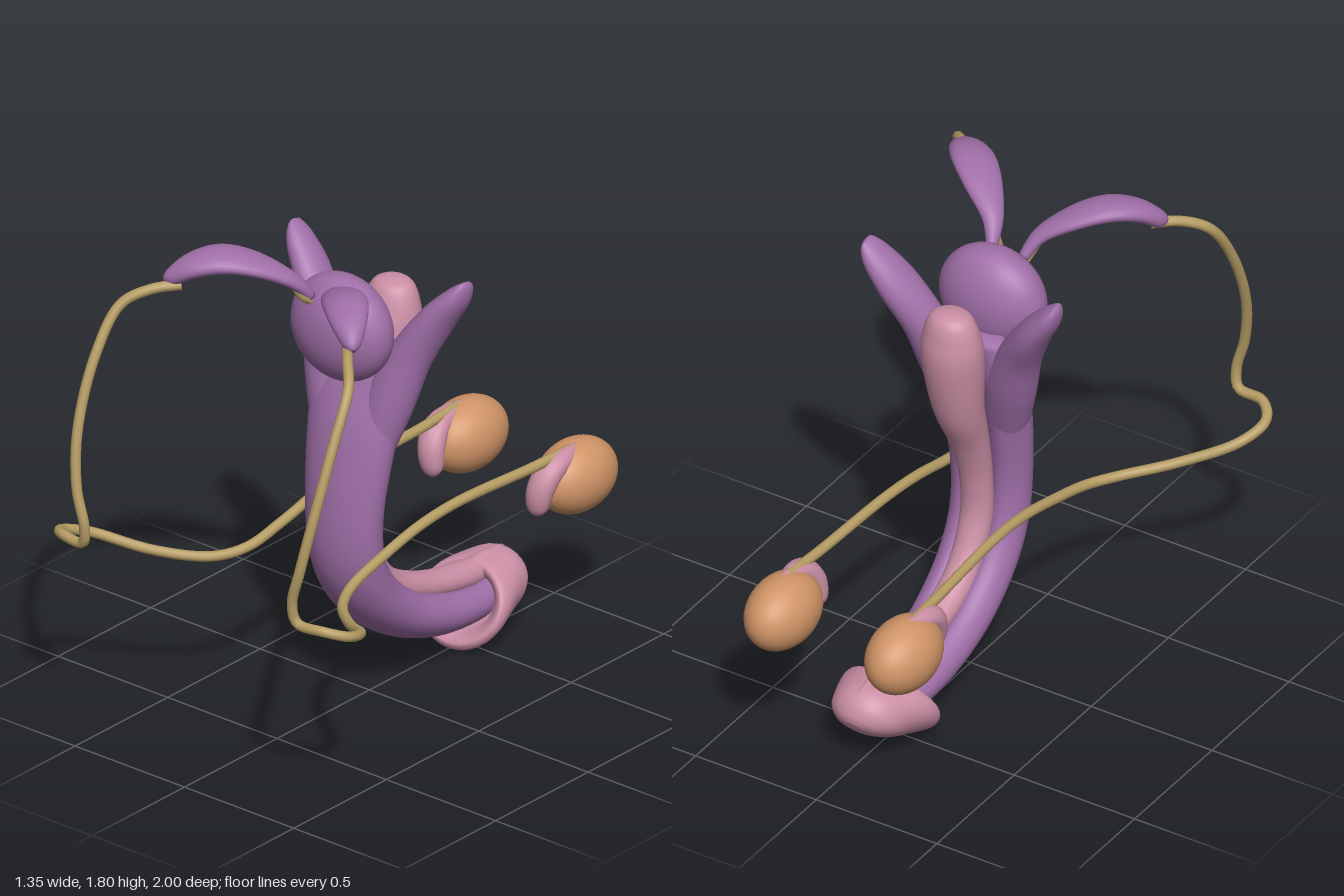
import * as THREE from 'three';

const V = (x, y, z) => new THREE.Vector3(x, y, z);
const mat = (name, color) => {
  const m = new THREE.MeshStandardMaterial({ color });
  m.name = name;
  return m;
};
const round = (a) => [Math.cos(a), Math.sin(a)];

// Smooth component-wise interpolation of rows of numbers
function resample(rows, per) {
  const out = [], last = rows.length - 1;
  const at = (i) => rows[Math.max(0, Math.min(last, i))];
  for (let k = 0; k <= last * per; k++) {
    const i = Math.min(Math.floor(k / per), last - 1), t = k / per - i;
    out.push(at(i).map((p1, c) => {
      const p0 = at(i - 1)[c], p2 = at(i + 1)[c], p3 = at(i + 2)[c];
      return 0.5 * (2 * p1 + (p2 - p0) * t + (2 * p0 - 5 * p1 + 4 * p2 - p3) * t * t
        + (3 * p1 - p0 - 3 * p2 + p3) * t * t * t);
    }));
  }
  return out;
}

// Sweeps a section along rows of [x, y, z, half width, half depth]
function sweep(rows, side, { profile = round, seg = 28, per = 5, normal = null } = {}) {
  const r = resample(rows, per), pos = [], idx = [];
  const pt = (i) => V(...r[Math.max(0, Math.min(r.length - 1, i))].slice(0, 3));
  r.forEach((row, i) => {
    const T = pt(i + 1).sub(pt(i - 1)).normalize();
    const S = side.clone();
    if (!normal) S.addScaledVector(T, -S.dot(T)).normalize();
    const N = normal || T.clone().cross(S);
    for (let j = 0; j < seg; j++) {
      const [u, v] = profile((j / seg) * Math.PI * 2);
      const p = pt(i).addScaledVector(S, u * row[3]).addScaledVector(N, v * row[4]);
      pos.push(p.x, p.y, p.z);
    }
  });
  for (let i = 0; i < r.length - 1; i++) {
    for (let j = 0; j < seg; j++) {
      const k = (j + 1) % seg, a = i * seg, b = a + seg;
      idx.push(a + j, a + k, b + k, a + j, b + k, b + j);
    }
  }
  // end caps
  const n = r.length * seg, e = n - seg;
  pos.push(...pt(0).toArray(), ...pt(r.length - 1).toArray());
  for (let j = 0; j < seg; j++) {
    const k = (j + 1) % seg;
    idx.push(n, k, j, n + 1, e + j, e + k);
  }
  const g = new THREE.BufferGeometry();
  g.setAttribute('position', new THREE.Float32BufferAttribute(pos, 3));
  g.setIndex(idx);
  g.computeVertexNormals();
  return g;
}

export function createModel() {
  const model = new THREE.Group();
  const purple = mat('purple tissue', 0xa06fa8);
  const pink = mat('pink tissue', 0xcb8fa6);
  const gold = mat('golden duct', 0xb59c64);
  const orange = mat('orange gland', 0xd09467);
  const add = (name, geo, m) => {
    const mesh = new THREE.Mesh(geo, m);
    mesh.name = name;
    model.add(mesh);
    return mesh;
  };
  const ellipsoid = (name, m, c, s) => {
    const e = add(name, new THREE.SphereGeometry(1, 36, 24), m);
    e.position.set(...c);
    e.scale.set(...s);
    return e;
  };
  const X = V(1, 0, 0);

  // Curved main body, grooved along its back
  const grooved = (a) => {
    const c = Math.cos(a), s = Math.sin(a);
    return [c, s < 0 ? s * (1 - 0.6 * Math.exp(-((c / 0.35) ** 2))) : s];
  };
  add('mainBody', sweep([
    [0, 1.4, 0.01, 0.14, 0.05], [0, 1.25, 0.04, 0.2, 0.075], [0, 1.05, 0.095, 0.187, 0.095],
    [0, 0.78, 0.135, 0.162, 0.097], [0, 0.57, 0.118, 0.15, 0.105], [0, 0.41, 0.03, 0.145, 0.105],
    [0, 0.285, -0.12, 0.142, 0.1], [0, 0.21, -0.3, 0.135, 0.095], [0, 0.18, -0.47, 0.125, 0.085],
    [0, 0.18, -0.58, 0.11, 0.08],
  ], X, { profile: grooved, seg: 40 }), purple);

  // Club-shaped column running down the groove
  add('backColumn', sweep([
    [0, 1.57, -0.13, 0.025, 0.02], [0, 1.55, -0.13, 0.075, 0.065], [0, 1.48, -0.125, 0.105, 0.09],
    [0, 1.37, -0.115, 0.115, 0.105], [0, 1.15, -0.08, 0.095, 0.087], [0, 0.965, -0.01, 0.075, 0.065],
    [0, 0.78, 0.035, 0.062, 0.055], [0, 0.6, 0.035, 0.06, 0.055], [0, 0.415, -0.065, 0.06, 0.055],
    [0, 0.31, -0.28, 0.058, 0.05], [0, 0.262, -0.52, 0.055, 0.05], [0, 0.268, -0.62, 0.04, 0.046],
    [0, 0.275, -0.72, 0.022, 0.03],
  ], X), pink);

  // Slanted end cap; rows are [distance along, low edge, high edge, half width]
  const capRows = [
    [0.38, 0.31, 0.5, 0.11], [0.34, 0.265, 0.525, 0.155], [0.337, 0.236, 0.549, 0.18],
    [0.376, 0.23, 0.578, 0.185], [0.455, 0.315, 0.622, 0.15], [0.512, 0.395, 0.617, 0.125],
    [0.55, 0.465, 0.592, 0.08], [0.566, 0.52, 0.565, 0.03],
  ].map(([n, lo, hi, w]) => {
    const h = (lo + hi) / 2;
    return [0, 0.86 * h - 0.51 * n, -0.51 * h - 0.86 * n, w, (hi - lo) / 2];
  });
  add('endCap', sweep(capRows, X, { normal: V(0, -0.86, 0.51), seg: 36 }), pink);

  // Rounded upper gland
  ellipsoid('upperGland', purple, [0, 1.48, 0.147], [0.21, 0.2, 0.132]);

  for (const s of [1, -1]) {
    const side = s > 0 ? 'left' : 'right';
    const flip = (rows) => rows.map(([x, ...rest]) => [x * s, ...rest]);

    // Upper branch of the main body
    add(side + 'UpperBranch', sweep(flip([
      [0.08, 0.98, 0.1, 0.08, 0.06], [0.135, 1.2, 0.05, 0.095, 0.08], [0.2, 1.38, 0.01, 0.078, 0.08],
      [0.285, 1.53, -0.03, 0.06, 0.083], [0.355, 1.625, -0.05, 0.043, 0.065],
      [0.385, 1.675, -0.06, 0.022, 0.042], [0.39, 1.695, -0.065, 0.005, 0.02],
    ]), V(s, 0, 0)), purple);

    // Leaf-shaped gland reaching forward
    add(side + 'LeafGland', sweep(flip([
      [0.065, 1.61, 0.24, 0.02, 0.02], [0.1, 1.685, 0.3, 0.04, 0.026], [0.19, 1.745, 0.38, 0.07, 0.033],
      [0.28, 1.77, 0.46, 0.08, 0.038], [0.355, 1.75, 0.53, 0.065, 0.038],
      [0.41, 1.705, 0.58, 0.035, 0.032], [0.425, 1.685, 0.595, 0.012, 0.015],
    ]), V(s * 0.7, 0.12, -0.7)), purple);

    // Long looping duct and its short stub at the upper gland
    const tube = (name, pts) => add(name, new THREE.TubeGeometry(
      new THREE.CatmullRomCurve3(flip(pts).map((p) => V(...p))), pts.length * 8, 0.019, 12), gold);
    tube(side + 'Duct', [
      [0.38, 1.68, 0.57], [0.45, 1.67, 0.65], [0.52, 1.62, 0.73], [0.545, 1.45, 0.84],
      [0.54, 1.2, 0.94], [0.51, 1, 0.98], [0.475, 0.86, 0.98], [0.49, 0.79, 0.97],
      [0.6, 0.785, 0.955], [0.655, 0.76, 0.89], [0.62, 0.72, 0.78], [0.45, 0.65, 0.64],
      [0.3, 0.62, 0.5], [0.24, 0.63, 0.38], [0.225, 0.67, 0.2], [0.225, 0.715, 0],
      [0.23, 0.735, -0.2], [0.25, 0.73, -0.6], [0.26, 0.735, -0.78],
    ]);
    tube(side + 'DuctStub', [[0.09, 1.66, 0.29], [0.075, 1.62, 0.27], [0.065, 1.59, 0.23]]);

    // Egg-shaped gland with a crescent on its front
    ellipsoid(side + 'EggGland', orange, [s * 0.25, 0.615, -0.822], [0.122, 0.136, 0.176]);
    add(side + 'Crescent', sweep(flip([
      [0.238, 0.53, -0.635, 0.012, 0.012], [0.24, 0.56, -0.625, 0.042, 0.035],
      [0.25, 0.63, -0.63, 0.052, 0.045], [0.262, 0.69, -0.67, 0.05, 0.045],
      [0.265, 0.715, -0.74, 0.038, 0.038], [0.26, 0.73, -0.81, 0.015, 0.02],
    ]), V(s, 0, 0), { seg: 16 }), pink);
  }
  return model;
}
